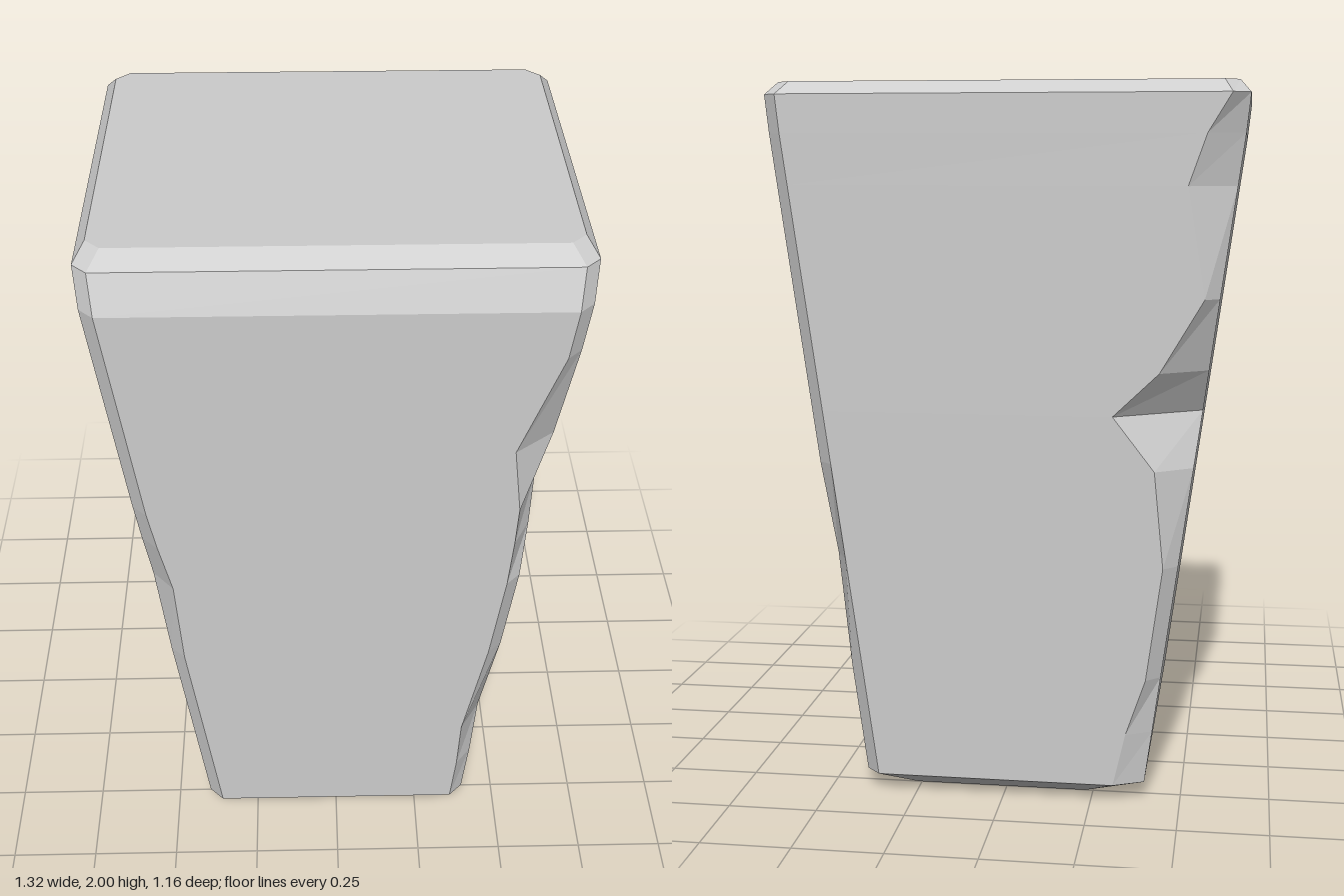
import * as THREE from 'three';

const levels = [0.05, 0.2, 0.36, 0.68, 0.95, 1.1, 1.22, 1.42, 1.72, 1.86];
const depth = 0.582;

// Chips knocked out of each upright edge: height, then how far they reach along x and z
const chips = {
  frontLeft: [[0.95, 0.02, 0.03]],
  frontRight: [[0.36, 0.02, 0.06], [1.22, 0.02, 0.12], [1.5, 0.11, 0.06]],
  backRight: [[0.68, 0, 0.04]],
  backLeft: [[0.1, 0.06, 0], [1.1, 0.2, 0.12], [1.76, 0.11, 0.04]],
};

// The edge wear fades out linearly above and below each chip
function wear(corner, y) {
  let dx = 0.04, dz = 0.04;
  for (const [height, x, z] of chips[corner]) {
    const fade = Math.max(0, 1 - Math.abs(y - height) / 0.22);
    dx += x * fade;
    dz += z * fade;
  }
  return [dx, dz];
}

// Rectangle with worn corners, counter-clockwise seen from above
function section(y, width, front, back) {
  const [fl, fr, br, bl] = Object.keys(chips).map((corner) => wear(corner, y));
  return [
    [-width, y, front - fl[1]], [-width + fl[0], y, front],
    [width - fr[0], y, front], [width, y, front - fr[1]],
    [width, y, back + br[1]], [width - br[0], y, back],
    [-width + bl[0], y, back], [-width, y, back + bl[1]],
  ];
}

// Skin the sections and close both ends
function loft(sections) {
  const n = sections[0].length;
  const last = (sections.length - 1) * n;
  const index = [];
  for (let i = 0; i < last; i += n) {
    for (let j = 0; j < n; j++) {
      const a = i + j, b = i + (j + 1) % n;
      index.push(a, b, b + n, a, b + n, a + n);
    }
  }
  for (let j = 1; j < n - 1; j++) {
    index.push(0, j + 1, j, last, last + j, last + j + 1);
  }
  const geometry = new THREE.BufferGeometry();
  geometry.setAttribute('position', new THREE.Float32BufferAttribute(sections.flat(2), 3));
  geometry.setIndex(index);
  const faceted = geometry.toNonIndexed();
  faceted.computeVertexNormals();
  return faceted;
}

export function createModel() {
  const group = new THREE.Group();
  group.name = 'keystone';

  // Tapered stone block: straight sides between a bevelled foot and a bevelled top
  const sides = levels.map((y) => section(y, 0.392 + 0.138 * y, depth, -depth));
  const block = new THREE.Mesh(
    loft([
      section(0, 0.3, 0.49, -0.5),
      ...sides,
      section(1.965, 0.66, 0.54, -depth),
      section(2, 0.63, 0.48, -0.545),
    ]),
    new THREE.MeshStandardMaterial({ color: 0xcccccc, flatShading: true })
  );
  block.name = 'stoneBlock';
  group.add(block);
  return group;
}
